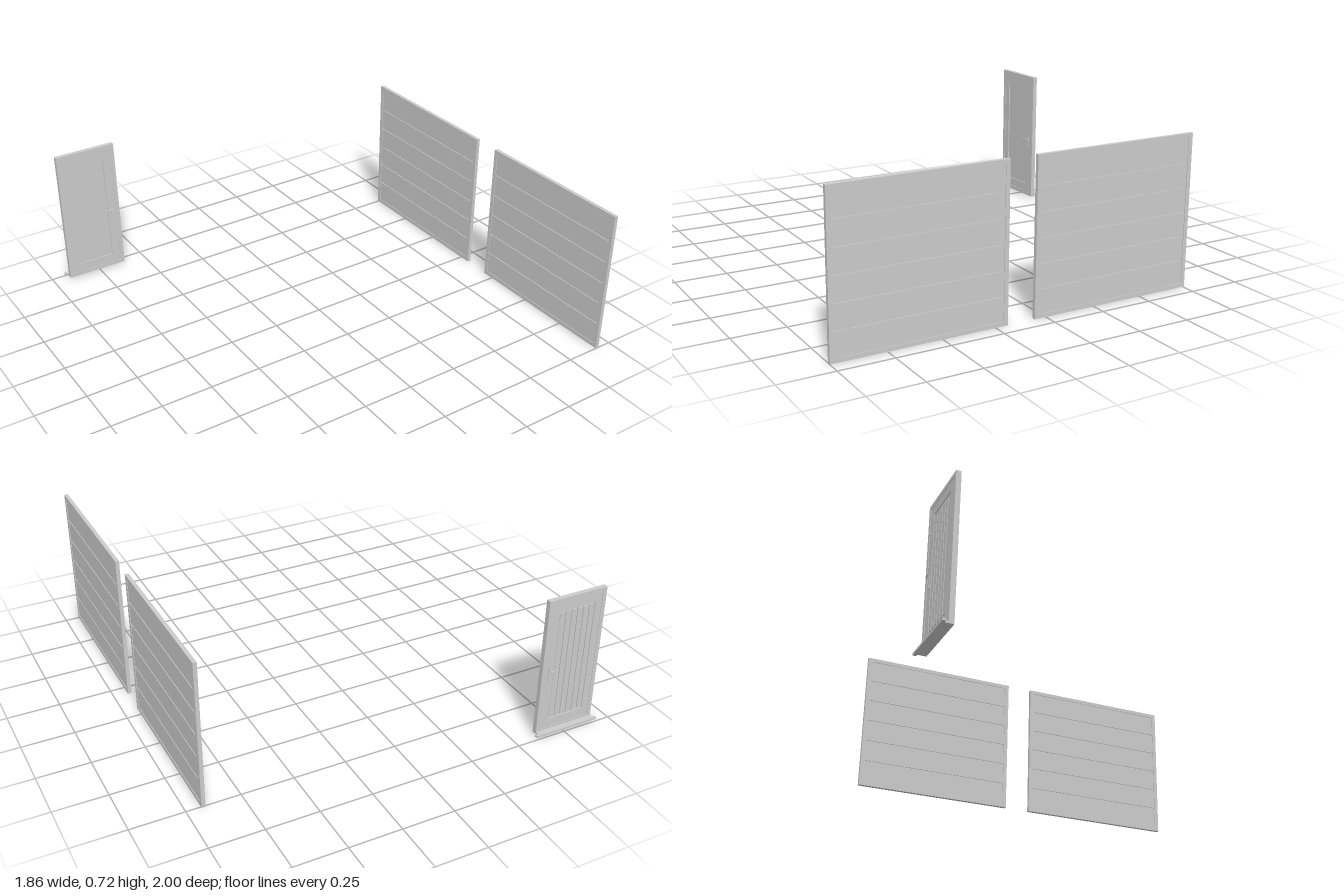
import * as THREE from 'three';

const material = new THREE.MeshStandardMaterial({ color: 0xcccccc, flatShading: true });

// Box given by its limits on each axis
function box(parent, name, [x0, x1], [y0, y1], [z0, z1]) {
  const mesh = new THREE.Mesh(new THREE.BoxGeometry(x1 - x0, y1 - y0, z1 - z0), material);
  mesh.position.set((x0 + x1) / 2, (y0 + y1) / 2, (z0 + z1) / 2);
  mesh.name = name;
  parent.add(mesh);
  return mesh;
}

// Rectangular ring in the xy plane, extruded along z from z0 to z1
function ring(parent, name, [x0, x1], [y0, y1], [z0, z1], [left, right, bottom, top]) {
  const rect = (T, a, b, c, d) => {
    const p = new T();
    p.moveTo(a, c).lineTo(b, c).lineTo(b, d).lineTo(a, d).closePath();
    return p;
  };
  const shape = rect(THREE.Shape, x0, x1, y0, y1);
  shape.holes.push(rect(THREE.Path, x0 + left, x1 - right, y0 + bottom, y1 - top));
  const geometry = new THREE.ExtrudeGeometry(shape, { depth: z1 - z0, bevelEnabled: false });
  const mesh = new THREE.Mesh(geometry.translate(0, 0, z0), material);
  mesh.name = name;
  parent.add(mesh);
}

// Sectional door, built facing +z and turned to face +x
function garageDoor(name, z0, z1) {
  const door = new THREE.Group();
  door.name = name;
  const w = (z1 - z0) / 2, height = 0.717, border = 0.02, sections = 6, gap = 0.006;
  ring(door, 'garageFrame', [-w, w], [0, height], [-0.009, 0.009], [border, border, border, border]);
  const inner = [-w + border, w - border];
  box(door, 'garageCore', inner, [border, height - border], [-0.002, 0.002]);
  const pitch = (height - 2 * border) / sections;
  for (let i = 0; i < sections; i++) {
    const y = border + i * pitch;
    box(door, 'garageSection', inner,
      [y + (i ? gap / 2 : 0), y + pitch - (i < sections - 1 ? gap / 2 : 0)], [-0.006, 0.006]);
  }
  door.rotation.y = Math.PI / 2;
  door.position.set(0.923, 0, (z0 + z1) / 2);
  return door;
}

// Lever handle with its backplate; side is +1 for the front, -1 for the back
function leverHandle(side) {
  const handle = new THREE.Group();
  handle.name = side > 0 ? 'frontHandle' : 'backHandle';
  box(handle, 'backplate', [-0.006, 0.006], [-0.05, 0.018], [-0.0015, 0.0025]);
  const lever = new THREE.CatmullRomCurve3([
    [0, 0, 0], [0, 0, 0.011], [-0.003, 0, 0.014], [-0.012, 0.001, 0.014],
    [-0.02, -0.001, 0.014], [-0.031, 0.001, 0.014],
  ].map((p) => new THREE.Vector3(...p)));
  const mesh = new THREE.Mesh(new THREE.TubeGeometry(lever, 20, 0.0028, 8), material);
  mesh.name = 'lever';
  handle.add(mesh);
  const tip = new THREE.Mesh(new THREE.SphereGeometry(0.0028, 8, 6), material);
  tip.position.set(-0.031, 0.001, 0.014);
  tip.name = 'leverTip';
  handle.add(tip);
  const lock = new THREE.Mesh(new THREE.CylinderGeometry(0.003, 0.003, 0.004, 10), material);
  lock.rotation.x = Math.PI / 2;
  lock.position.set(0, -0.034, 0.002);
  lock.name = 'lockCylinder';
  handle.add(lock);
  // Turned about x for the back so that the lever still points to -x
  if (side < 0) {
    handle.children.forEach((m) => { m.position.z *= -1; });
    mesh.rotation.x = Math.PI;
  }
  handle.position.set(-0.653, 0.34, side > 0 ? -0.949 : -0.968);
  return handle;
}

function entranceDoor() {
  const door = new THREE.Group();
  door.name = 'entranceDoor';
  const X = [-0.918, -0.612], Y = [0.01, 0.7], Z = [-0.97, -0.947];

  // Outer frame and the leaf set slightly back inside it
  const f = 0.02;
  ring(door, 'doorFrame', X, Y, Z, [f, f, f, f]);
  ring(door, 'doorLeaf', [X[0] + f, X[1] - f], [Y[0] + f, Y[1] - f], [-0.968, -0.949],
    [0.035, 0.043, 0.045, 0.045]);

  // Recessed panel
  const px = [X[0] + 0.055, X[1] - 0.063], py = [0.075, 0.635];
  box(door, 'doorPanel', px, py, [-0.963, -0.954]);

  // Vertical boards on the back, separated by narrow grooves
  const boards = 6, pitch = (px[1] - px[0]) / boards, gap = 0.005;
  for (let i = 0; i < boards; i++) {
    const x = px[0] + i * pitch;
    box(door, 'backBoard', [x + gap / 2, x + pitch - gap / 2],
      [py[0] + 0.006, py[1] - 0.006], [-0.967, -0.963]);
  }

  // Threshold with ears projecting past the frame
  box(door, 'threshold', X, [0.01, 0.02], [-0.985, -0.97]);
  box(door, 'thresholdNose', [-0.932, -0.598], [0.01, 0.02], [-1, -0.985]);

  door.add(leverHandle(1), leverHandle(-1));
  return door;
}

export function createModel() {
  const model = new THREE.Group();
  model.name = 'doorSet';
  model.add(
    garageDoor('frontGarageDoor', 0.19, 1),
    garageDoor('rearGarageDoor', -0.757, 0.056),
    entranceDoor(),
  );
  return model;
}
